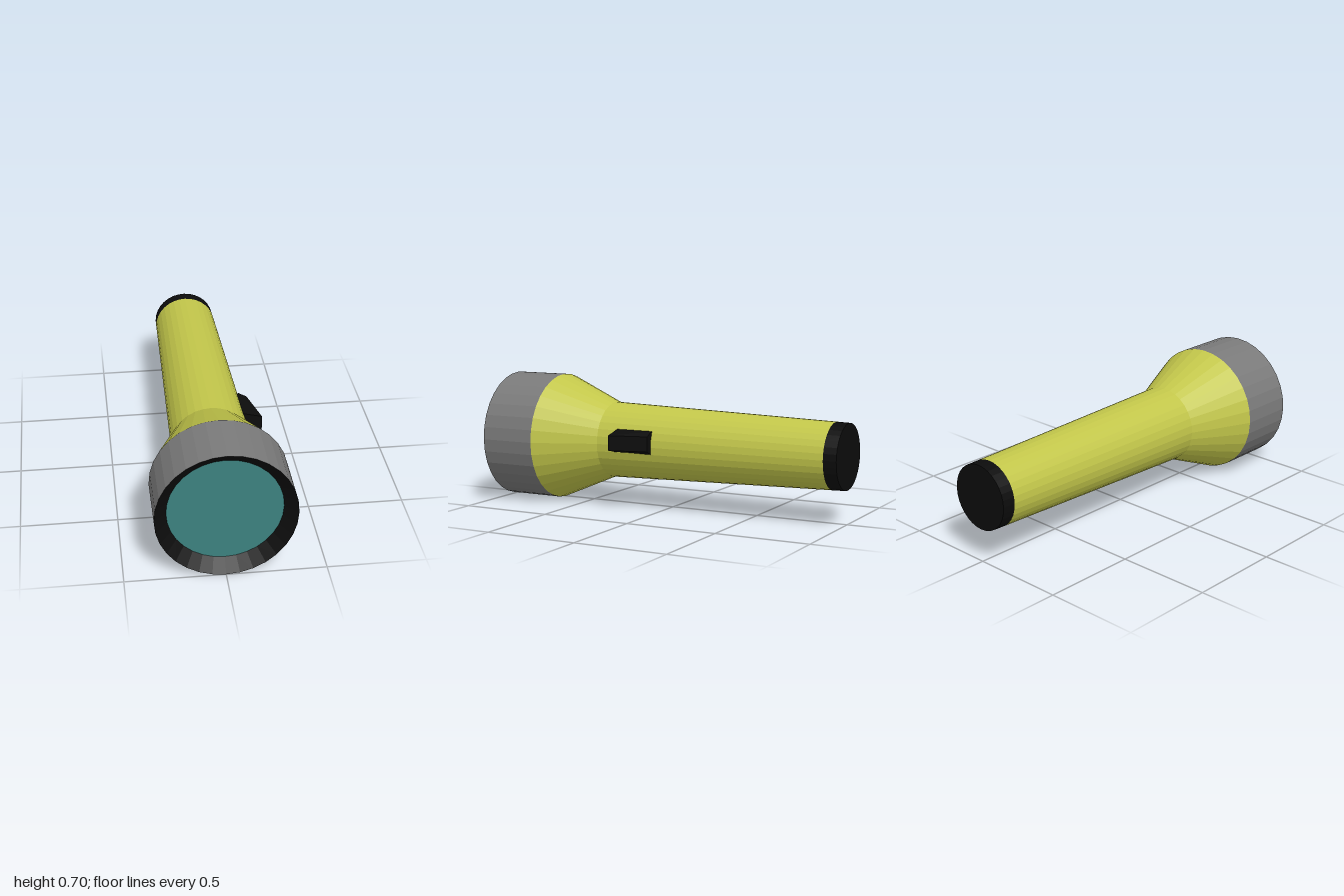
import * as THREE from 'three';

const material = (name, color) => {
  const m = new THREE.MeshStandardMaterial({ color, flatShading: true });
  m.name = name;
  return m;
};

export function createModel() {
  const yellow = material('yellow plastic', 0xc2c64a);
  const grey = material('grey plastic', 0x7a7a7a);
  const black = material('black rubber', 0x0c0c0c);
  const teal = material('teal glass', 0x3c827f);

  const axisY = 0.348;
  const group = new THREE.Group();
  group.name = 'flashlight';

  const add = (name, geometry, mat) => {
    const mesh = new THREE.Mesh(geometry, mat);
    mesh.name = name;
    mesh.position.y = axisY;
    group.add(mesh);
  };

  // Turned part around the z axis; profile points are [radius, z]
  const turned = (name, mat, profile) => {
    const points = profile.map(([r, z]) => new THREE.Vector2(r, z));
    add(name, new THREE.LatheGeometry(points, 32).rotateX(Math.PI / 2), mat);
  };

  turned('tailCap', black, [[0, -1], [0.172, -1], [0.174, -0.93]]);
  turned('handle', yellow, [[0.174, -0.93], [0.207, 0.355]]);
  turned('neck', yellow, [[0.207, 0.355], [0.348, 0.69]]);
  turned('head', grey, [[0.348, 0.69], [0.348, 1]]);
  turned('bezel', black, [[0.348, 1], [0.285, 0.94]]);
  turned('lens', teal, [[0.285, 0.94], [0, 0.94]]);

  // Thumb switch on the left side: bevelled section that rises toward the front
  const zBack = 0.03, zFront = 0.238;
  const section = new THREE.Shape([
    [0.15, -0.04], [0.19, -0.04], [0.232, -0.018],
    [0.232, 0.062], [0.19, 0.085], [0.15, 0.085],
  ].map(([x, y]) => new THREE.Vector2(x, y)));
  const thumb = new THREE.ExtrudeGeometry(section, { depth: zFront - zBack, bevelEnabled: false });
  thumb.translate(0, 0, zBack);
  const p = thumb.attributes.position;
  for (let i = 0; i < p.count; i++) {
    if (p.getX(i) > 0.2 && p.getZ(i) > 0.1) p.setX(i, 0.285);
  }
  thumb.computeVertexNormals();
  add('switch', thumb, black);

  return group;
}
